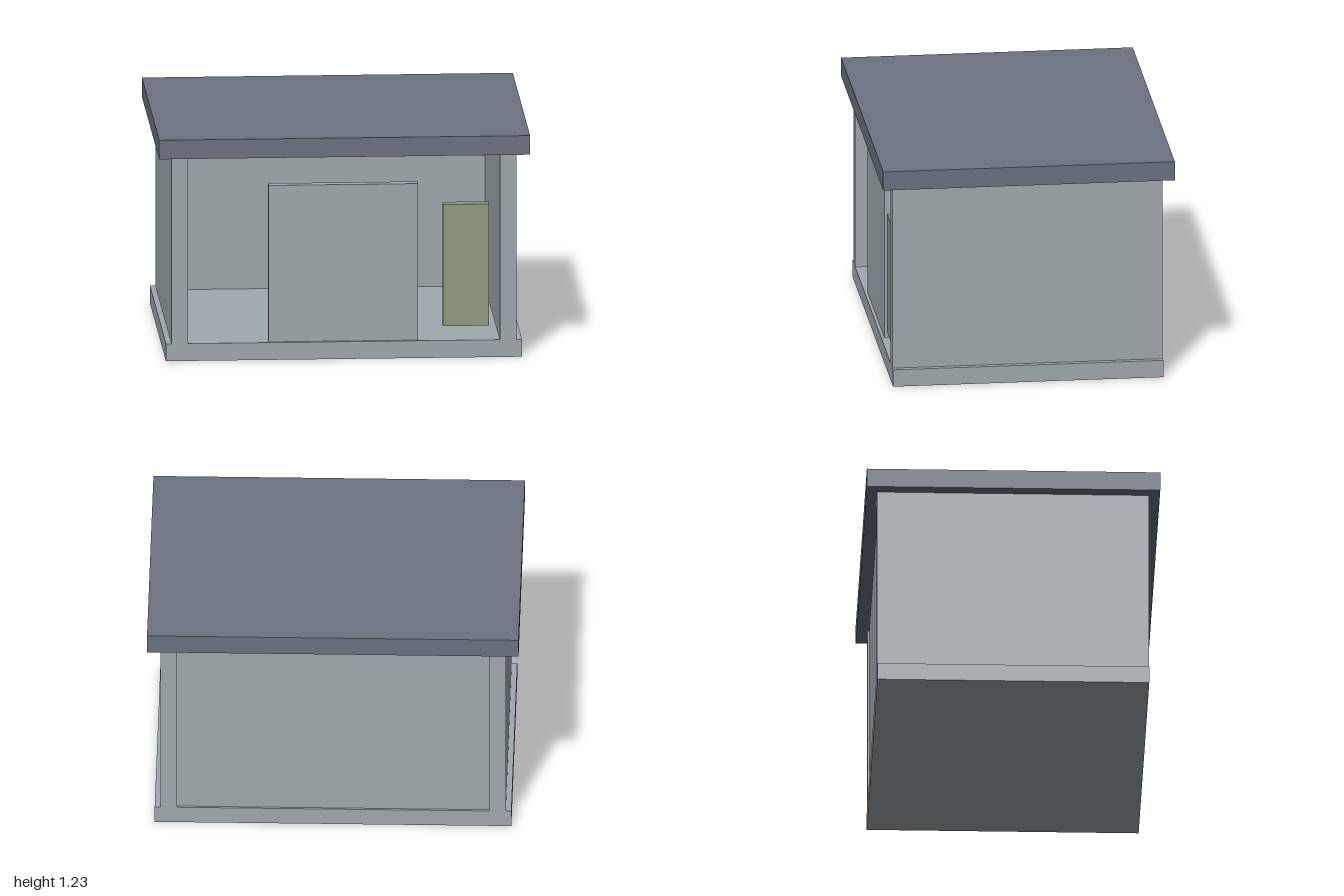
import * as THREE from 'three';

export function createModel() {
  const model = new THREE.Group();
  model.name = 'openShed';

  const material = (name, color) => {
    const m = new THREE.MeshStandardMaterial({ color });
    m.name = name;
    return m;
  };
  const concrete = material('paleGreyConcrete', 0xa0a9ae);
  const slate = material('slateGreyRoof', 0x6b7280);
  const sage = material('sageGreen', 0x8e9a80);

  // Box given by its lower and upper limits on each axis
  const block = (name, mat, [x0, x1], [y0, y1], [z0, z1]) => {
    const mesh = new THREE.Mesh(new THREE.BoxGeometry(x1 - x0, y1 - y0, z1 - z0), mat);
    mesh.position.set((x0 + x1) / 2, (y0 + y1) / 2, (z0 + z1) / 2);
    mesh.name = name;
    model.add(mesh);
  };

  const floorY = 0.095, eaveY = 1.125, depth = 0.732;

  // Base slab and flat overhanging roof
  block('baseSlab', concrete, [-0.96, 0.96], [0, floorY], [-depth, depth]);
  block('roof', slate, [-1, 1], [eaveY, 1.23], [-0.79, 0.79]);

  // Side walls and the slightly recessed back wall; the front stays open
  block('leftWall', concrete, [0.84, 0.93], [floorY, eaveY], [-depth, depth]);
  block('rightWall', concrete, [-0.93, -0.84], [floorY, eaveY], [-depth, depth]);
  block('backWall', concrete, [-0.84, 0.84], [floorY, eaveY], [-0.72, -0.625]);

  // Door panel standing in the opening, with the window panel beside it
  block('doorPanel', concrete, [-0.405, 0.4], [floorY, 0.957], [0.66, 0.715]);
  block('windowPanel', sage, [0.535, 0.782], [0.17, 0.84], [0.65, 0.715]);

  return model;
}
